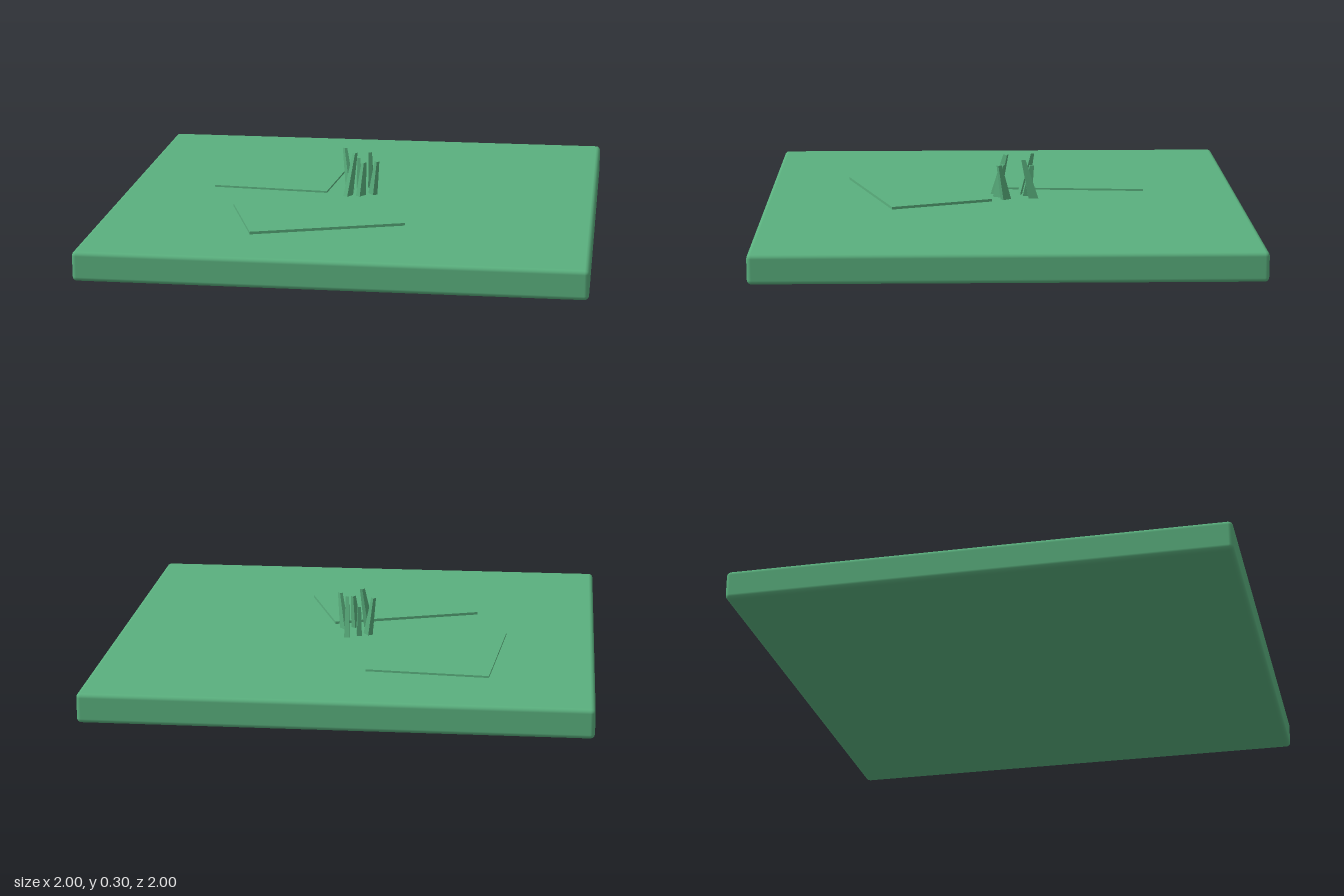
import * as THREE from 'three';
import { RoundedBoxGeometry } from 'three/addons/geometries/RoundedBoxGeometry.js';

const TOP = 0.12; // height of the slab's upper face

// Four-sided blade whose foot and tip centres are [x, z], wide along its lean
function bladeGeometry(foot, tip, height) {
  const geo = new THREE.BoxGeometry(1, 1, 1);
  const dx = tip[0] - foot[0], dz = tip[1] - foot[1];
  const len = Math.hypot(dx, dz);
  const ux = dx / len, uz = dz / len;
  const p = geo.attributes.position;
  for (let i = 0; i < p.count; i++) {
    const up = p.getY(i) > 0;
    const a = p.getX(i) * (up ? 0.018 : 0.042);
    const b = p.getZ(i) * (up ? 0.013 : 0.022);
    const c = up ? tip : foot;
    p.setXYZ(i, c[0] + ux * a - uz * b, up ? height : TOP - 0.01, c[1] + uz * a + ux * b);
  }
  geo.computeVertexNormals();
  return geo;
}

export function createModel() {
  const model = new THREE.Group();
  model.name = 'grassTile';
  const grass = new THREE.MeshStandardMaterial({ color: 0x5ab07e });
  grass.name = 'grass green';

  const add = (name, geometry, parent = model) => {
    const mesh = new THREE.Mesh(geometry, grass);
    mesh.name = name;
    parent.add(mesh);
    return mesh;
  };

  // Square ground slab with softened edges
  add('groundSlab', new RoundedBoxGeometry(2, TOP, 2, 2, 0.018)).position.y = TOP / 2;

  // Thin turf patches: x, z, width, depth, turn, top height
  [
    [-0.361, -0.322, 0.495, 0.607, -0.083, 0.128],
    [-0.127, 0.36, 0.633, 0.44, 0.33, 0.131],
  ].forEach(([x, z, w, d, turn, top], i) => {
    const patch = add(`turfPatch${i + 1}`, new THREE.BoxGeometry(w, 0.02, d));
    patch.position.set(x, top - 0.01, z);
    patch.rotation.y = turn;
  });

  // Leaning grass blades: foot, tip, tip height
  const tuft = new THREE.Group();
  tuft.name = 'grassTuft';
  model.add(tuft);
  [
    [[-0.05, -0.082], [-0.078, -0.124], 0.29],
    [[-0.014, -0.1], [-0.018, -0.122], 0.25],
    [[0.034, -0.13], [0.036, -0.085], 0.285],
    [[-0.046, 0.032], [-0.02, -0.012], 0.297],
    [[0.008, 0.022], [0.02, 0.004], 0.26],
    [[0.055, -0.012], [0.077, 0.018], 0.27],
  ].forEach(([foot, tip, h], i) => add(`grassBlade${i + 1}`, bladeGeometry(foot, tip, h), tuft));

  return model;
}
